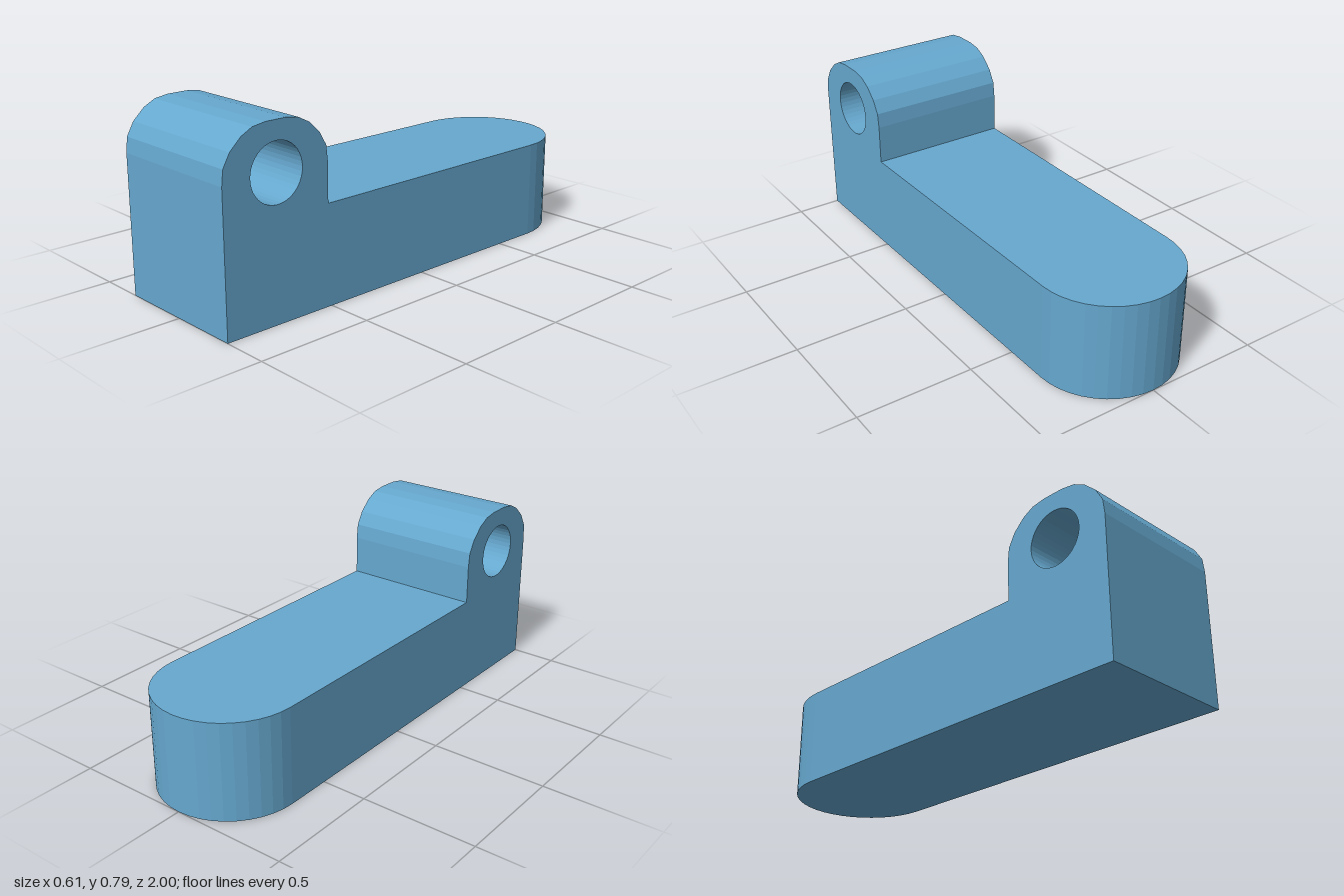
import * as THREE from 'three';

export function createModel() {
  const group = new THREE.Group();
  const material = new THREE.MeshStandardMaterial({ color: 0x66a8cf, flatShading: true });
  const halfWidth = 0.305, armHeight = 0.42, endZ = -0.695;
  const lugZ = 0.757, lugY = 0.59;

  // Side profile: straight arm with a rounded lug at the front (shape x becomes z)
  const dome = [[0.243, 0.587], [0.236, 0.65], [0.205, 0.705], [0.155, 0.752], [0.105, 0.778], [0.045, 0.787]];
  const profile = new THREE.Shape([
    [endZ, 0], [1, 0],
    ...dome.map(([d, y]) => [lugZ + d, y]),
    ...dome.map(([d, y]) => [lugZ - d, y]).reverse(),
    [lugZ - 0.243, armHeight], [endZ, armHeight],
  ].map(([z, y]) => new THREE.Vector2(z, y)));

  // Pin hole through the lug
  const hole = new THREE.Path();
  hole.absarc(lugZ, lugY, 0.12, 0, Math.PI * 2, true);
  profile.holes.push(hole);

  const bodyGeometry = new THREE.ExtrudeGeometry(profile, {
    depth: halfWidth * 2, bevelEnabled: false, curveSegments: 20,
  });
  bodyGeometry.rotateY(-Math.PI / 2).translate(halfWidth, 0, 0);
  const body = new THREE.Mesh(bodyGeometry, material);
  body.name = 'armWithLug';
  group.add(body);

  // Half-round back end of the arm
  const end = new THREE.Mesh(
    new THREE.CylinderGeometry(halfWidth, halfWidth, armHeight, 20, 1, false, Math.PI / 2, Math.PI),
    material,
  );
  end.name = 'roundedEnd';
  end.position.set(0, armHeight / 2, endZ);
  group.add(end);

  return group;
}
